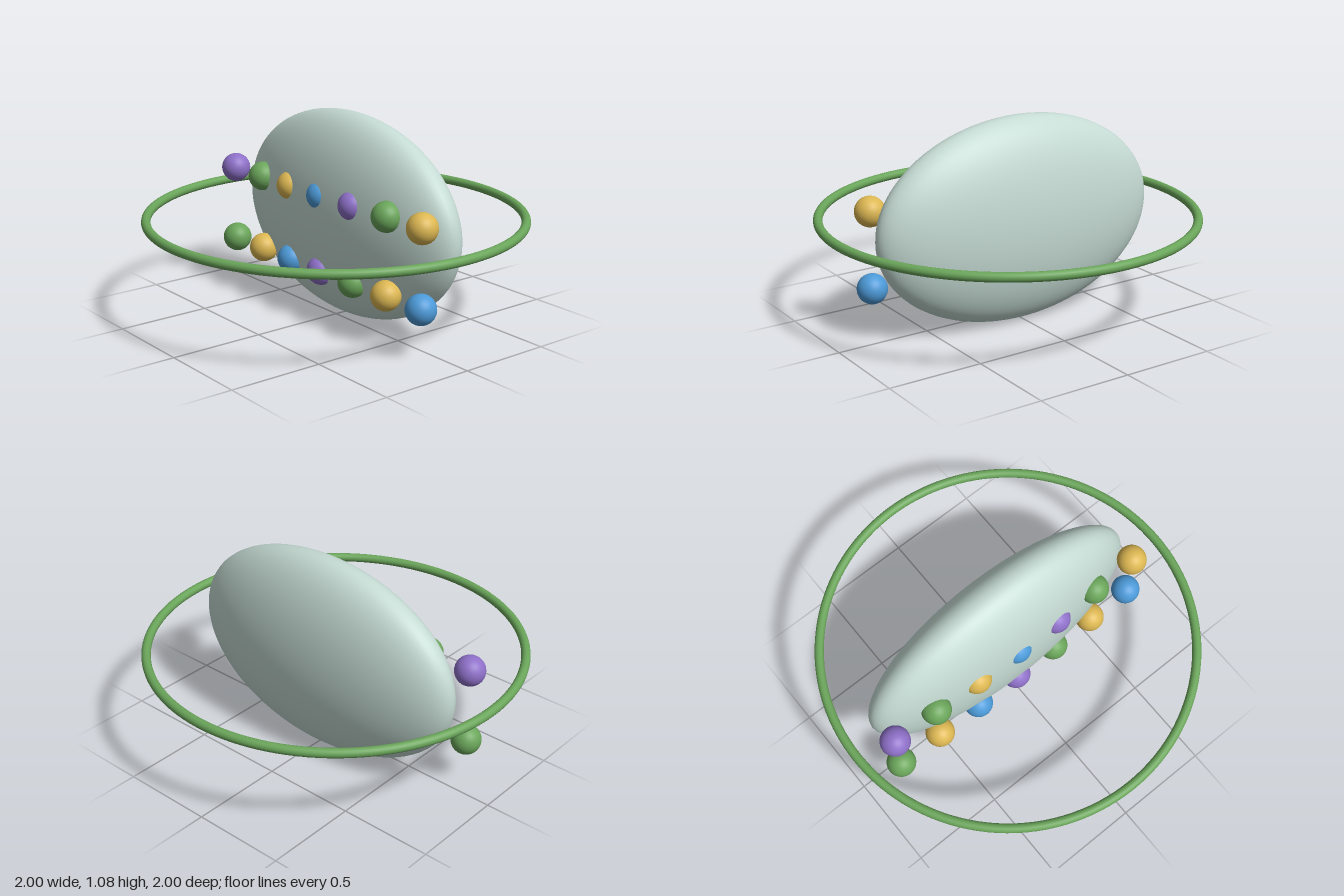
import * as THREE from 'three';

function makeMaterial(name, color) {
  const material = new THREE.MeshStandardMaterial({ color });
  material.name = name;
  return material;
}

export function createModel() {
  const model = new THREE.Group();
  model.name = 'ringedEllipsoid';

  const paleTeal = makeMaterial('pale teal', 0xc4dad2);
  const green = makeMaterial('green', 0x6aa55a);
  const purple = makeMaterial('purple', 0x8e70c8);
  const yellow = makeMaterial('yellow', 0xdcb752);
  const blue = makeMaterial('blue', 0x4c9ad8);

  const add = (name, geometry, material, x, y, z) => {
    const mesh = new THREE.Mesh(geometry, material);
    mesh.name = name;
    mesh.position.set(x, y, z);
    model.add(mesh);
    return mesh;
  };

  // Flattened body
  const bodyGeometry = new THREE.SphereGeometry(1, 64, 48).scale(0.82, 0.54, 0.228);
  add('body', bodyGeometry, paleTeal, 0, 0.54, -0.087);

  // Horizontal ring around the body
  const ringGeometry = new THREE.TorusGeometry(0.976, 0.024, 20, 128).rotateX(Math.PI / 2);
  add('ring', ringGeometry, green, 0, 0.543, 0);

  // Two rows of coloured balls across the front
  const ballGeometry = new THREE.SphereGeometry(0.078, 32, 24);
  const rows = [
    { name: 'upperBall', y: 0.66, colours: [purple, green, yellow, blue, purple, green, yellow] },
    { name: 'lowerBall', y: 0.257, colours: [green, yellow, blue, purple, green, yellow, blue] },
  ];
  for (const { name, y, colours } of rows) {
    colours.forEach((colour, i) => {
      add(`${name}${i + 1}`, ballGeometry, colour, -0.788 + i * 0.258, y, 0.085);
    });
  }

  return model;
}
